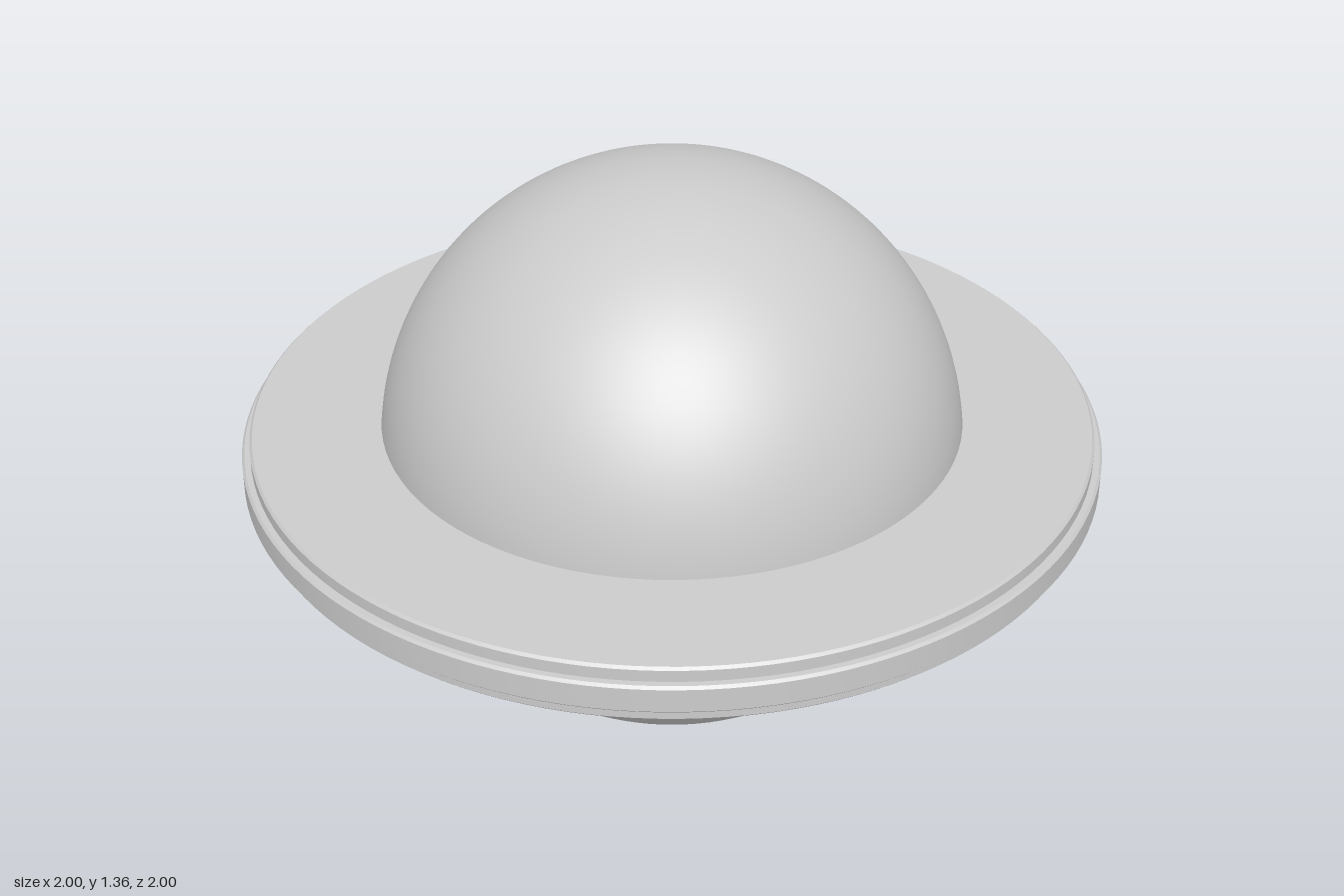
import * as THREE from 'three';
import { toCreasedNormals } from 'three/addons/utils/BufferGeometryUtils.js';

const RADIUS = 0.68;   // globe radius and height of its centre
const SEGMENTS = 128;

export function createModel() {
  const model = new THREE.Group();
  model.name = 'ringedPlanet';
  const material = new THREE.MeshStandardMaterial({ color: 0xcccccc });

  const add = (name, geometry) => {
    const mesh = new THREE.Mesh(geometry, material);
    mesh.name = name;
    mesh.position.y = RADIUS;
    model.add(mesh);
  };

  // Smooth globe
  add('globe', new THREE.SphereGeometry(RADIUS, 96, 64));

  // Flat ring with a raised rim band; upper half of the profile, outside to inside
  const upper = [
    [1, 0.028], [0.994, 0.034], [0.98, 0.034],
    [0.98, 0.062], [0.974, 0.068], [0.64, 0.068],
  ];
  const lower = upper.map(([r, y]) => [r, -y]).reverse();
  const profile = [...lower, ...upper].map(([r, y]) => new THREE.Vector2(r, y));
  add('ring', toCreasedNormals(new THREE.LatheGeometry(profile, SEGMENTS), 0.5));

  return model;
}
